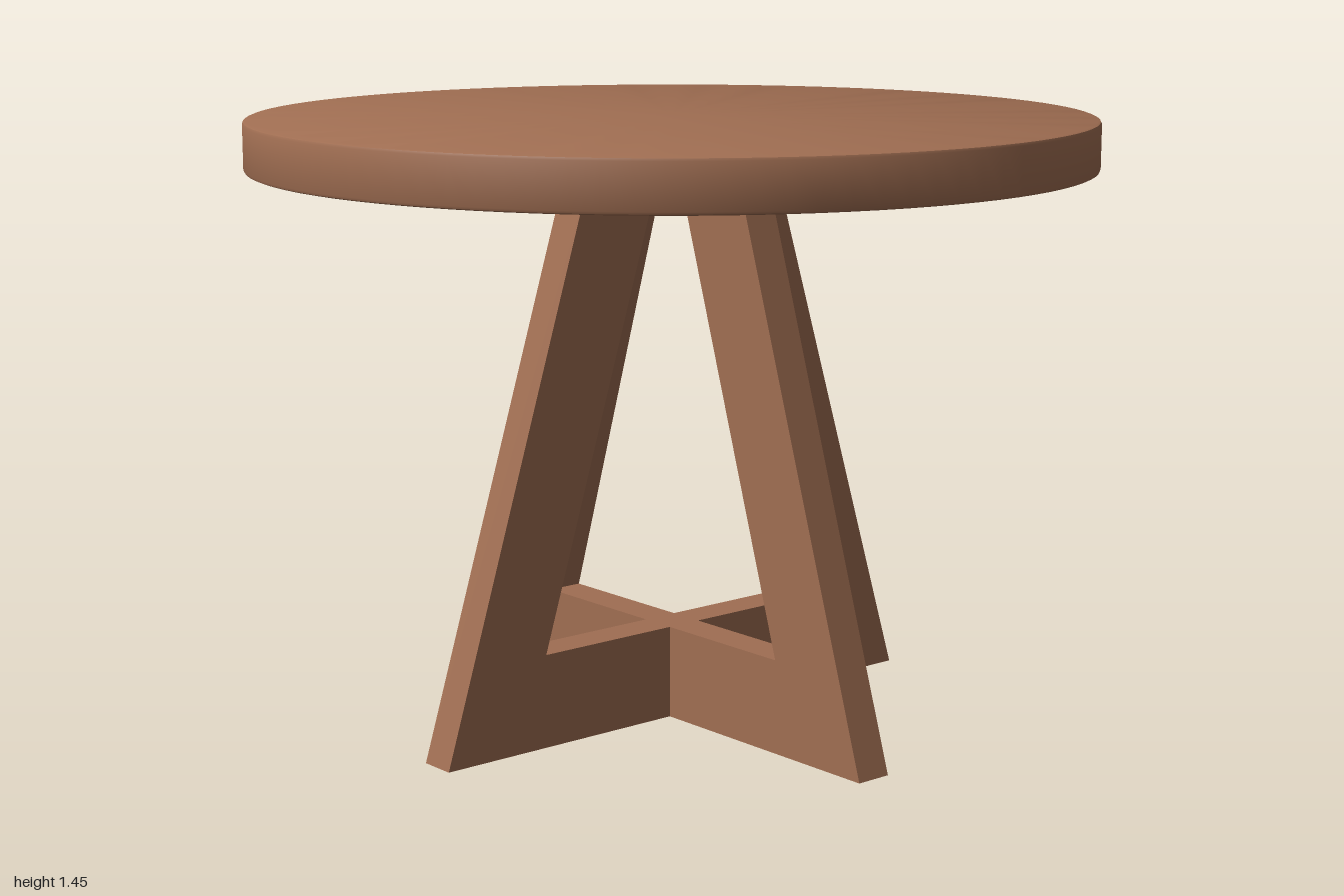
import * as THREE from 'three';
import { toCreasedNormals } from 'three/addons/utils/BufferGeometryUtils.js';

const THICK = 0.09;      // board thickness of the base
const RAIL = 0.225;      // height of the bottom rails
const UNDER = 1.335;     // underside of the tabletop
const TOP = 1.453;       // upper face of the tabletop

// Round slab with slightly eased rims
function tabletopGeometry() {
  const e = 0.008;
  const profile = [
    [0, UNDER], [1 - e, UNDER], [1 - e * 0.3, UNDER + e * 0.3], [1, UNDER + e],
    [1, TOP - e], [1 - e * 0.3, TOP - e * 0.3], [1 - e, TOP], [0, TOP],
  ].map(([x, y]) => new THREE.Vector2(x, y));
  return toCreasedNormals(new THREE.LatheGeometry(profile, 96), 0.5);
}

// Slanted leg and its half of the bottom rail, cut as one board
function legGeometry() {
  const outline = [
    [THICK / 2, 0], [0.705, 0], [0.285, UNDER],
    [0.075, UNDER], [0.422, RAIL], [THICK / 2, RAIL],
  ].map(([x, y]) => new THREE.Vector2(x, y));
  const geometry = new THREE.ExtrudeGeometry(new THREE.Shape(outline), {
    depth: THICK, bevelEnabled: false,
  });
  return geometry.translate(0, 0, -THICK / 2);
}

export function createModel() {
  const table = new THREE.Group();
  table.name = 'roundTable';
  const wood = new THREE.MeshStandardMaterial({ color: 0xa06e52 });
  wood.name = 'brown wood';

  const add = (name, geometry) => {
    const mesh = new THREE.Mesh(geometry, wood);
    mesh.name = name;
    table.add(mesh);
    return mesh;
  };

  add('tabletop', tabletopGeometry());

  // Four legs around the centre
  const leg = legGeometry();
  ['leftLeg', 'backLeg', 'rightLeg', 'frontLeg'].forEach((name, i) => {
    add(name, leg).rotation.y = (i * Math.PI) / 2;
  });

  // Block where the rails cross
  add('railJoint', new THREE.BoxGeometry(THICK, RAIL, THICK)).position.y = RAIL / 2;

  return table;
}
